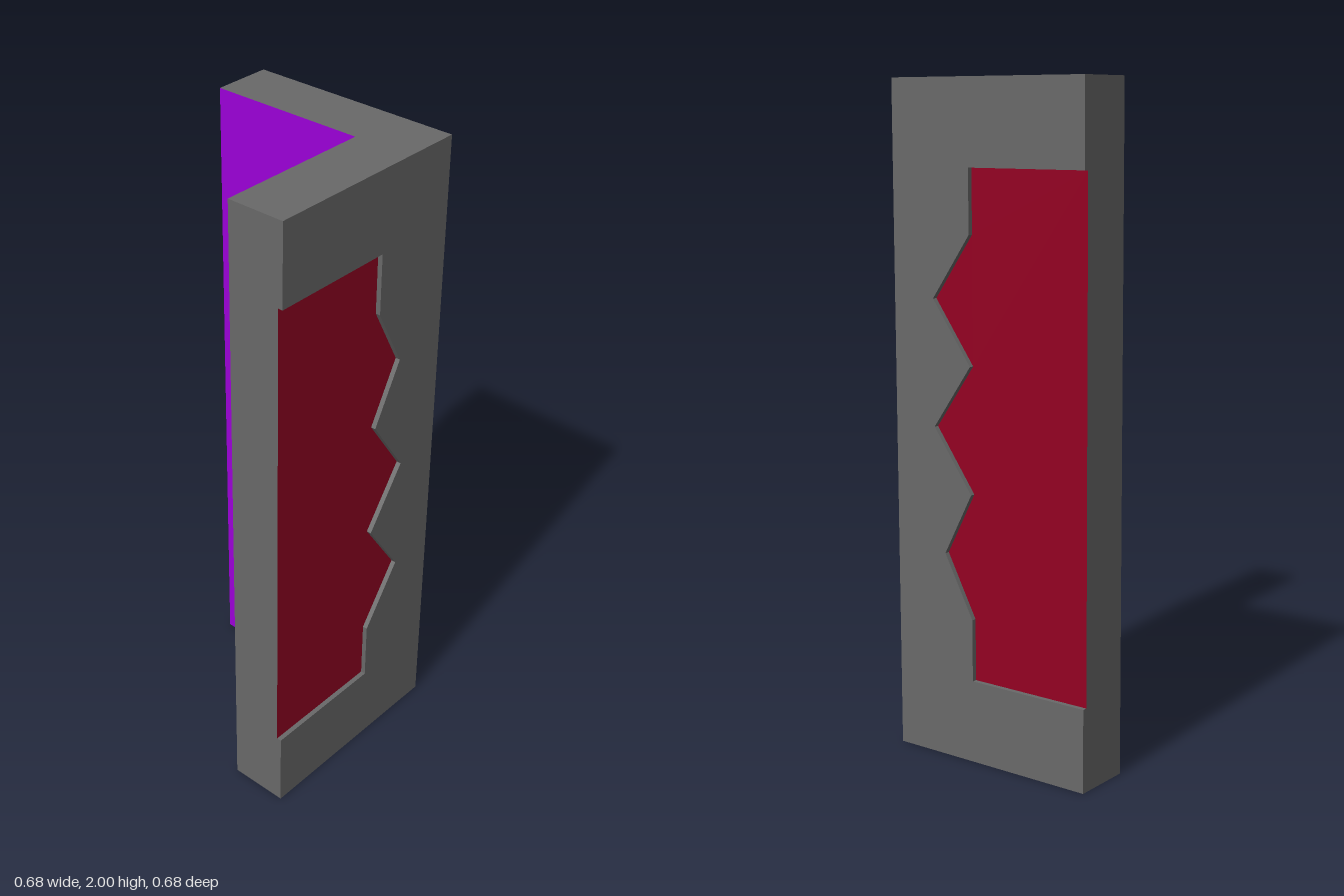
import * as THREE from 'three';

const H = 0.341;     // half width of the footprint
const IN = 0.157;    // inner faces of the wings
const REC = 0.015;   // depth of the panel recess
const TOP = 2;

const material = (color) => new THREE.MeshStandardMaterial({ color, flatShading: true, side: THREE.DoubleSide });
const grey = material(0x696969);
const red = material(0x940022);
const purple = material(0x9c00d8);

function mesh(name, geometry, mat) {
  const m = new THREE.Mesh(geometry, mat);
  m.name = name;
  return m;
}

const shapeOf = (points) => new THREE.Shape(points.map(([x, y]) => new THREE.Vector2(x, y)));

// Strip of quads along a path, running from z = H back to the recess floor.
function ribbon(path, s) {
  const back = H - REC, vertices = [];
  for (let i = 0; i + 1 < path.length; i++) {
    const [a, b] = s > 0 ? [path[i], path[i + 1]] : [path[i + 1], path[i]];
    vertices.push(...a, H, ...b, H, ...a, back, ...b, H, ...b, back, ...a, back);
  }
  const geometry = new THREE.BufferGeometry();
  geometry.setAttribute('position', new THREE.Float32BufferAttribute(vertices, 3));
  geometry.computeVertexNormals();
  return geometry;
}

// One wing facing +z; s = 1 puts its free end at -x, s = -1 at +x.
function createWing(name, s, tips) {
  const wing = new THREE.Group();
  wing.name = name;
  const far = -H * s, base = 0.06 * s;

  // outline of the recess with its zigzag edge, from bottom to top
  const notch = [[far, 0.25], [base, 0.25], [base, 0.4375]];
  tips.forEach((tip, i) => {
    const y = 0.625 + i * 0.375;
    notch.push([tip * s, y], [base, y + 0.1875]);
  });
  notch.push([base, 1.75], [far, 1.75]);
  const edge = [[far, 0], ...notch, [far, TOP]];

  // raised frame around the recess, and its edges
  const frame = new THREE.ShapeGeometry(shapeOf([[-far, 0], ...edge, [-far, TOP]]));
  wing.add(mesh('raisedFrame', frame.translate(0, 0, H), grey));
  wing.add(mesh('frameEdge', ribbon(edge, s), grey));

  // recessed panel
  const panel = new THREE.ShapeGeometry(shapeOf(notch));
  wing.add(mesh('recessedPanel', panel.translate(0, 0, H - REC), red));

  // inner face
  const lining = new THREE.PlaneGeometry(IN + H, TOP).rotateY(Math.PI);
  wing.add(mesh('innerLining', lining.translate(s * (IN - H) / 2, TOP / 2, IN), purple));

  // free end
  const cap = new THREE.PlaneGeometry(H - REC - IN, TOP).rotateY(-s * Math.PI / 2);
  wing.add(mesh('endCap', cap.translate(far, TOP / 2, (H - REC + IN) / 2), grey));
  return wing;
}

export function createModel() {
  const model = new THREE.Group();
  model.name = 'cornerPost';

  model.add(createWing('frontWing', 1, [0.19, 0.19, 0.16]));
  const side = createWing('sideWing', -1, [0.16, 0.195, 0.195]);
  side.rotation.y = Math.PI / 2;
  model.add(side);

  // L-shaped lid; the underside stays open
  const lid = new THREE.ShapeGeometry(shapeOf(
    [[-H, -H], [H, -H], [H, H], [IN, H], [IN, -IN], [-H, -IN]]));
  model.add(mesh('topLid', lid.rotateX(-Math.PI / 2).translate(0, TOP, 0), grey));
  return model;
}
